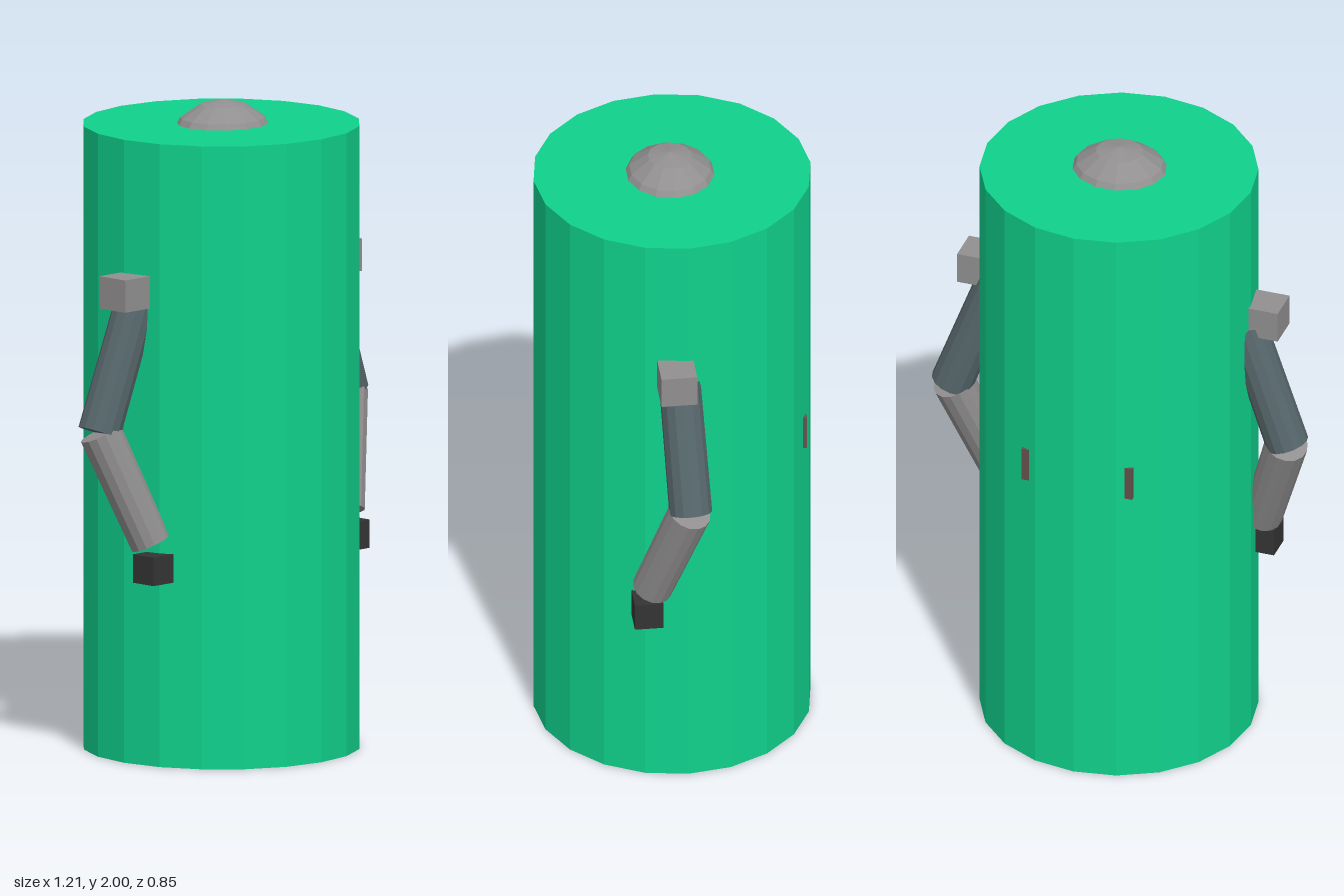
import * as THREE from 'three';

const flat = (name, color) => {
  const m = new THREE.MeshStandardMaterial({ color, flatShading: true });
  m.name = name;
  return m;
};

export function createModel() {
  const green = flat('green', 0x10d18c);
  const grey = flat('grey', 0x918f8f);
  const slate = flat('slate', 0x56666b);
  const dark = flat('charcoal', 0x343434);
  const brown = flat('dull brown', 0x64504c);

  const model = new THREE.Group();
  const add = (parent, name, geometry, material, x = 0, y = 0, z = 0) => {
    const mesh = new THREE.Mesh(geometry, material);
    mesh.name = name;
    mesh.position.set(x, y, z);
    parent.add(mesh);
    return mesh;
  };

  // Tapered limb running between two points
  const limb = (parent, name, from, to, r0, r1, material) => {
    const a = new THREE.Vector3(...from);
    const b = new THREE.Vector3(...to);
    const dir = b.clone().sub(a);
    const geometry = new THREE.CylinderGeometry(r1, r0, dir.length(), 14);
    const mesh = add(parent, name, geometry, material);
    mesh.position.copy(a).add(b).multiplyScalar(0.5);
    mesh.quaternion.setFromUnitVectors(new THREE.Vector3(0, 1, 0), dir.normalize());
  };

  // Large twenty-sided body
  add(model, 'body', new THREE.CylinderGeometry(0.425, 0.425, 1.927, 20), green, 0, 0.9635, 0);

  // Crown of the head showing through the lid
  const head = add(model, 'head', new THREE.SphereGeometry(0.19, 14, 8), grey, 0, 1.81, 0.006);
  head.scale.z = 0.93;

  // Pack whose two rear corners just break the back surface
  add(model, 'backPack', new THREE.BoxGeometry(0.356, 0.11, 0.12), brown, 0, 1.055, -0.333);

  // Arms, with the same parts on both sides
  for (const s of [1, -1]) {
    const arm = new THREE.Group();
    arm.name = s > 0 ? 'leftArm' : 'rightArm';
    add(arm, 'shoulder', new THREE.BoxGeometry(0.11, 0.1, 0.11), grey, s * 0.462, 1.465, 0.04);
    limb(arm, 'upperArm', [s * 0.4, 1.425, 0.025], [s * 0.541, 1.037, 0.008], 0.064, 0.066, slate);
    limb(arm, 'forearm', [s * 0.537, 1.035, 0.01], [s * 0.424, 0.693, 0.112], 0.066, 0.062, grey);
    add(arm, 'hand', new THREE.BoxGeometry(0.086, 0.088, 0.088), dark, s * 0.428, 0.617, 0.127);
    model.add(arm);
  }
  return model;
}
